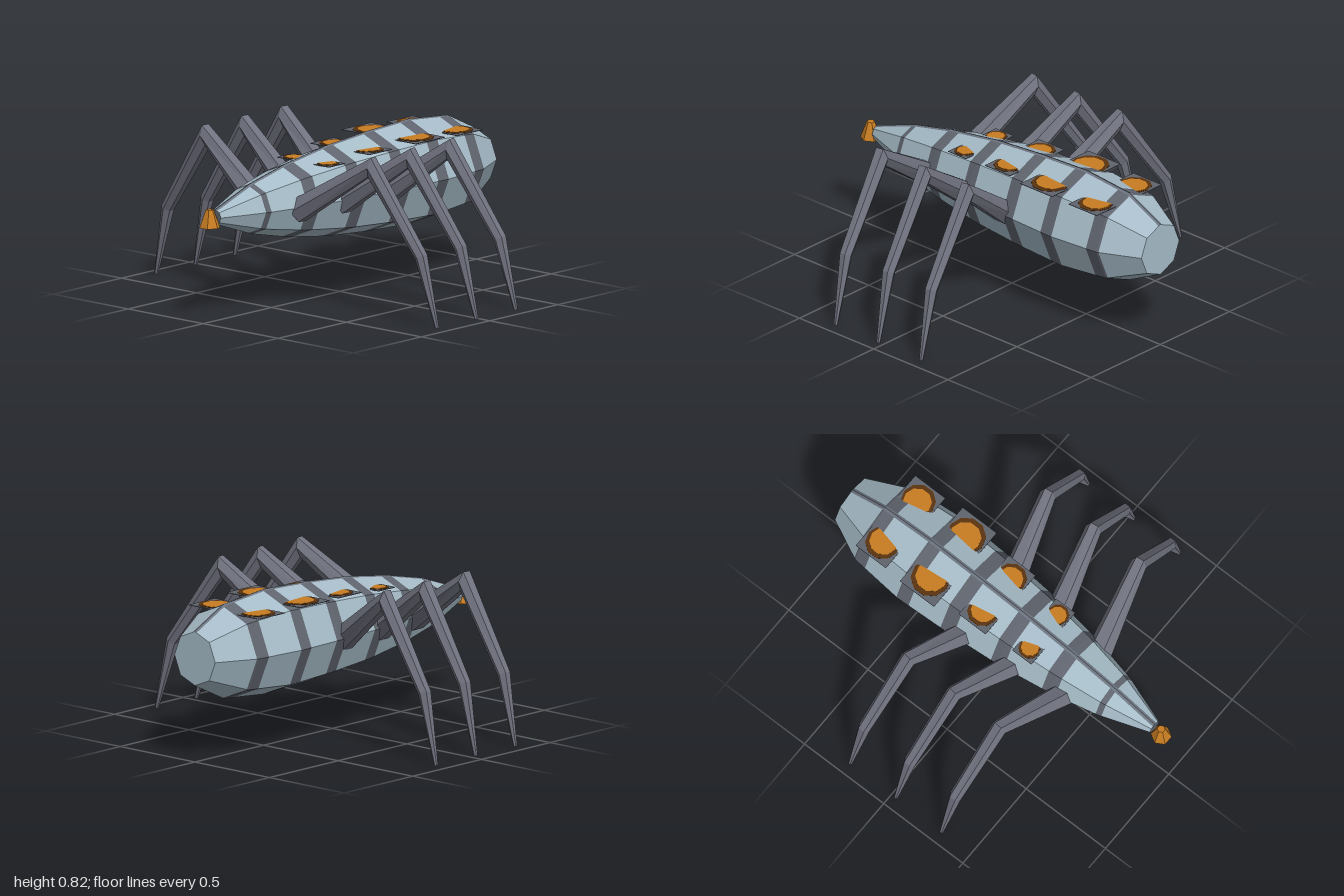
import * as THREE from 'three';

const mat = (name, color, extra = {}) => {
  const m = new THREE.MeshStandardMaterial({ color, flatShading: true, ...extra });
  m.name = name;
  return m;
};
const AXIS_Y = 0.525;

// Faceted tapering tube with mitred joints along a bent path
function limbGeometry(points, radii, sides = 6) {
  const pos = [], idx = [], n = points.length;
  const dir = i => points[i + 1].clone().sub(points[i]).normalize();
  for (let i = 0; i < n; i++) {
    const before = dir(Math.max(i - 1, 0)), after = dir(Math.min(i, n - 2));
    const t = before.clone().add(after).normalize();
    const u = new THREE.Vector3(0, 0, 1).addScaledVector(t, -t.z).normalize();
    const v = t.clone().cross(u);
    const mitre = 1 / t.dot(after);
    for (let k = 0; k < sides; k++) {
      const a = k / sides * Math.PI * 2;
      const p = points[i].clone()
        .addScaledVector(u, Math.cos(a) * radii[i])
        .addScaledVector(v, Math.sin(a) * radii[i] * mitre);
      pos.push(p.x, p.y, p.z);
    }
  }
  for (let i = 0; i < n - 1; i++) {
    for (let k = 0; k < sides; k++) {
      const a = i * sides + k, b = i * sides + (k + 1) % sides;
      idx.push(a, b, a + sides, b, b + sides, a + sides);
    }
  }
  const last = (n - 1) * sides;
  for (let k = 1; k < sides - 1; k++) {
    idx.push(0, k + 1, k, last, last + k, last + k + 1);
  }
  const g = new THREE.BufferGeometry();
  g.setAttribute('position', new THREE.Float32BufferAttribute(pos, 3));
  g.setIndex(idx);
  g.computeVertexNormals();
  return g;
}

export function createModel() {
  const hull = mat('pale blue grey', 0xa6bcc8);
  const dark = mat('band grey', 0x5f646e);
  const legMat = mat('leg grey', 0x70727f);
  const orange = mat('orange', 0xc87d22);
  const brown = mat('dark brown', 0x5a3310);
  const stripeMat = mat('stripe grey', 0x6c7480, { side: THREE.DoubleSide });

  const model = new THREE.Group();
  const add = (parent, name, geo, material, x = 0, y = 0, z = 0) => {
    const m = new THREE.Mesh(geo, material);
    m.name = name;
    m.position.set(x, y, z);
    parent.add(m);
    return m;
  };

  // Body: octagonal rings from nose to tail
  const profile = [[0.91, 0.036], [0.65, 0.127], [0.39, 0.185], [0.1, 0.228],
    [-0.2, 0.252], [-0.5, 0.265], [-0.79, 0.238], [-1, 0.137]];
  const radiusAt = z => {
    let i = 0;
    while (i < profile.length - 2 && z < profile[i + 1][0]) i++;
    const [z0, r0] = profile[i], [z1, r1] = profile[i + 1];
    return r0 + (r1 - r0) * (z - z0) / (z1 - z0);
  };
  const bands = [[0.67, 0.64], [0.425, 0.35], [0.135, 0.06],
    [-0.165, -0.24], [-0.435, -0.51], [-0.725, -0.8]];
  const cuts = [...new Set([...profile.map(p => p[0]), ...bands.flat()])].sort((a, b) => b - a);
  const body = new THREE.Group();
  body.name = 'body';
  model.add(body);
  for (let i = 0; i < cuts.length - 1; i++) {
    const z0 = cuts[i], z1 = cuts[i + 1], mid = (z0 + z1) / 2;
    const isBand = bands.some(([f, b]) => mid < f && mid > b);
    const g = new THREE.CylinderGeometry(radiusAt(z0), radiusAt(z1), z0 - z1, 8, 1, true);
    g.rotateX(Math.PI / 2);
    add(body, isBand ? 'bodyBand' : 'bodySection', g, isBand ? dark : hull, 0, AXIS_Y, mid);
  }
  add(body, 'noseCap', new THREE.CircleGeometry(radiusAt(0.91), 8), dark, 0, AXIS_Y, 0.91);
  add(body, 'tailCap', new THREE.CircleGeometry(radiusAt(-1), 8).rotateY(Math.PI), hull, 0, AXIS_Y, -1);

  // Thin stripe folded over the top ridge
  const sp = [], si = [], slope = Math.tan(Math.PI / 8), w = 0.013;
  profile.forEach(([z, r], i) => {
    const top = AXIS_Y + r + 0.002;
    sp.push(-w, top - w * slope, z, 0, top, z, w, top - w * slope, z);
    if (i === profile.length - 1) return;
    for (const a of [i * 3, i * 3 + 1]) si.push(a, a + 1, a + 3, a + 1, a + 4, a + 3);
  });
  const stripe = new THREE.BufferGeometry();
  stripe.setAttribute('position', new THREE.Float32BufferAttribute(sp, 3));
  stripe.setIndex(si);
  stripe.computeVertexNormals();
  add(body, 'ridgeStripe', stripe, stripeMat);

  // Small tapered nose piece
  add(model, 'noseTip', new THREE.CylinderGeometry(0.02, 0.053, 0.09, 6).rotateY(Math.PI / 6),
    orange, 0, 0.525, 0.952);

  // Level plates with round spots, half sunk into the back: x, y, z, size
  const plates = [[0.14, 0.724, -0.695, 0.19], [0.14, 0.735, -0.393, 0.215],
    [0.112, 0.72, -0.085, 0.17], [0.113, 0.697, 0.21, 0.12]];
  for (const side of [1, -1]) {
    for (const [x, y, z, s] of plates) {
      const plate = new THREE.Group();
      plate.name = side > 0 ? 'leftBackPlate' : 'rightBackPlate';
      plate.position.set(side * x, y, z);
      add(plate, 'plate', new THREE.BoxGeometry(s, 0.003, s), dark);
      add(plate, 'spotRim', new THREE.CylinderGeometry(s * 0.46, s * 0.46, 0.006, 10), brown);
      add(plate, 'spot', new THREE.CylinderGeometry(s * 0.38, s * 0.38, 0.009, 10), orange,
        -side * s * 0.04);
      model.add(plate);
    }
  }

  // Three pairs of bent legs
  [0.13, 0.16, 0.18].forEach((baseX, i) => {
    const dz = -0.288 * i;
    for (const side of [1, -1]) {
      const path = [[baseX, 0.5, 0.45], [0.55, 0.772, 0.37], [0.845, 0.355, 0.331], [0.937, 0.004, 0.315]]
        .map(([x, y, z]) => new THREE.Vector3(side * x, y, z + dz));
      add(model, side > 0 ? 'leftLeg' : 'rightLeg',
        limbGeometry(path, [0.066, 0.042, 0.033, 0.01]), legMat);
    }
  });

  return model;
}
